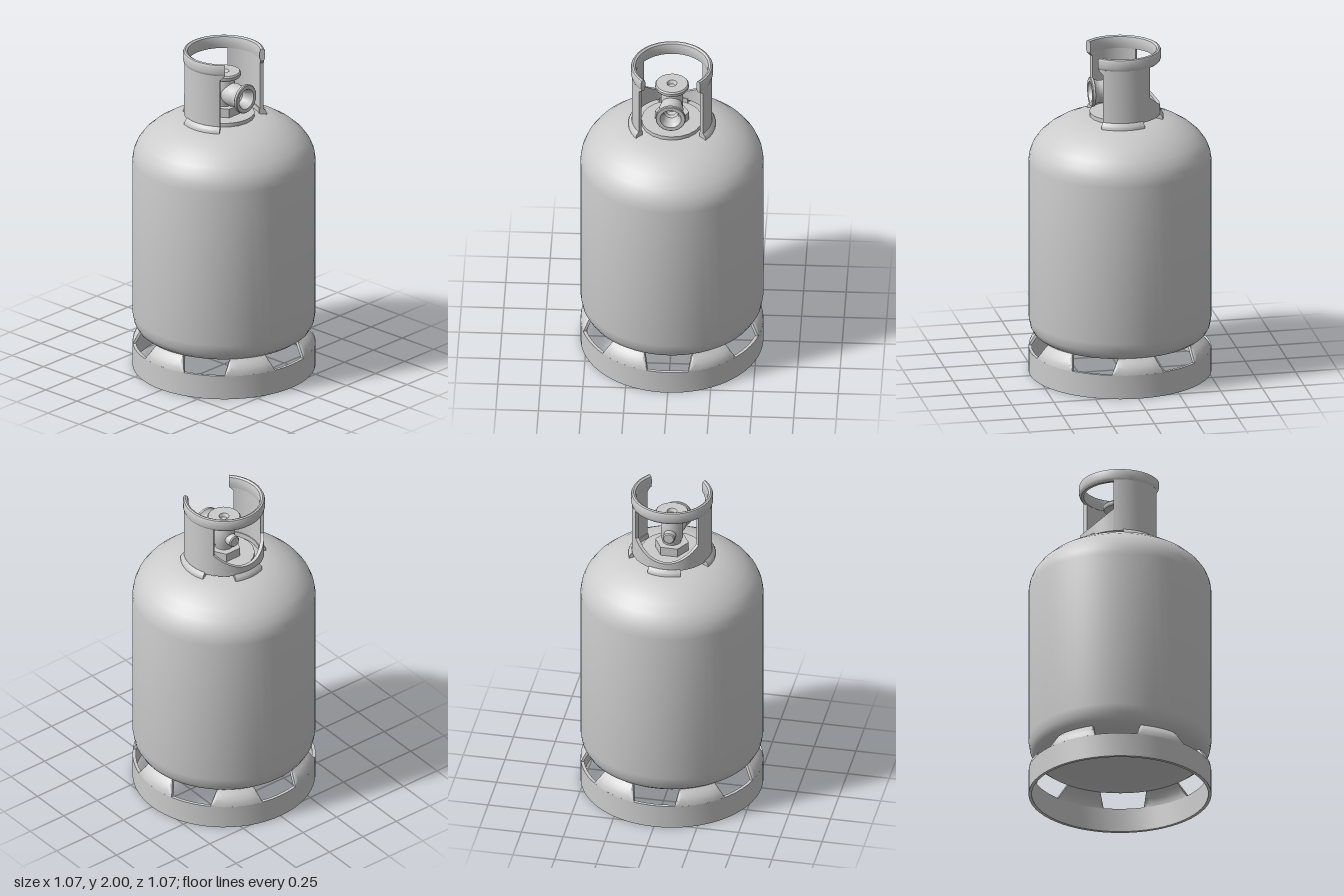
import * as THREE from 'three';
import { toCreasedNormals } from 'three/addons/utils/BufferGeometryUtils.js';

const RAD = Math.PI / 180;
const material = new THREE.MeshStandardMaterial({ color: 0xcccccc });

function add(parent, name, geometry, crease = 0.6) {
  const mesh = new THREE.Mesh(toCreasedNormals(geometry, crease), material);
  mesh.name = name;
  parent.add(mesh);
  return mesh;
}

const lathe = (points, segments) =>
  new THREE.LatheGeometry(points.map(([r, y]) => new THREE.Vector2(r, y)), segments);

// Solid swept about the y axis through the given angles (degrees, 0 = +x, 90 = +z).
// profile(angle) returns a counter-clockwise loop of [radius, height].
function arcSolid(angles, profile) {
  const loops = angles.map(profile);
  const n = loops[0].length;
  const positions = [];
  const index = [];
  loops.forEach((loop, i) => loop.forEach(([r, y]) =>
    positions.push(r * Math.cos(angles[i] * RAD), y, r * Math.sin(angles[i] * RAD))));
  for (let i = 0; i < angles.length - 1; i++) {
    for (let j = 0; j < n; j++) {
      const a = i * n + j, b = i * n + (j + 1) % n;
      index.push(a, b, b + n, a, b + n, a + n);
    }
  }
  const last = (angles.length - 1) * n;
  const cap = (loop) => THREE.ShapeUtils.triangulateShape(loop.map(([r, y]) => new THREE.Vector2(r, y)), []);
  for (const [a, b, c] of cap(loops[0])) index.push(a, c, b);
  for (const [a, b, c] of cap(loops[loops.length - 1])) index.push(last + a, last + b, last + c);
  const geometry = new THREE.BufferGeometry();
  geometry.setAttribute('position', new THREE.Float32BufferAttribute(positions, 3));
  geometry.setIndex(index);
  return geometry;
}

const steps = (from, to, count) =>
  Array.from({ length: count + 1 }, (_, i) => from + (to - from) * i / count);

const rect = (r0, r1, y0, y1) => [[r0, y0], [r1, y0], [r1, y1], [r0, y1]];

function addTank(group) {
  add(group, 'tank', lathe([
    [0, 0.205], [0.36, 0.207], [0.43, 0.215], [0.475, 0.228], [0.508, 0.252], [0.528, 0.288], [0.537, 0.34],
    [0.537, 1.31], [0.53, 1.355], [0.512, 1.4], [0.48, 1.445], [0.43, 1.49], [0.37, 1.528],
    [0.3, 1.558], [0.24, 1.572], [0.17, 1.583], [0, 1.587],
  ], 64));
  // Flat plate on the crown
  add(group, 'neckPlate', new THREE.CylinderGeometry(0.18, 0.18, 0.025, 20).translate(0, 1.593, 0));
}

function addFootRing(group) {
  const foot = new THREE.Group();
  foot.name = 'footRing';
  group.add(foot);
  add(foot, 'ringBand', lathe([[0.518, 0], [0.537, 0], [0.537, 0.147], [0.518, 0.147], [0.518, 0]], 64));

  // Six supports curve inwards to the tank, narrowing towards the top
  const outer = (t) => [0.537 - 0.055 * t * t, 0.145 + 0.087 * t];
  for (let k = 0; k < 6; k++) {
    const centre = 30 + k * 60;
    const offsets = [-16.8, ...steps(-13, 13, 6), 16.8];
    add(foot, 'tankSupport', arcSolid(offsets.map((d) => centre + d), (angle) => {
      const height = THREE.MathUtils.clamp((16.8 - Math.abs(angle - centre)) / 3.8, 0.02, 1);
      const edge = steps(0, height, 4).map(outer);
      return [...edge, ...edge.map(([r, y]) => [r - 0.018, y]).reverse()];
    }));
  }
}

function addCollar(group) {
  const collar = new THREE.Group();
  collar.name = 'guardCollar';
  group.add(collar);
  const inner = 0.215, outer = 0.236, base = 1.598;

  // Side walls, either side of the front and rear openings
  for (const start of [53, 233]) {
    add(collar, 'collarWall', arcSolid(steps(start, start + 74, 14), () => rect(inner, outer, base, 1.94)));
  }
  // Low wall under the rear window, dipping towards the middle
  add(collar, 'lowWall', arcSolid(steps(127, 233, 20), (angle) => {
    const dip = (-Math.cos(angle * RAD) - 0.6) / 0.4;
    return rect(inner, outer, base, 1.74 - 0.095 * dip);
  }));
  // Rolled rim
  add(collar, 'rim', arcSolid(steps(46, 314, 48), () => [
    [0.213, 1.922], [0.228, 1.922], [0.237, 1.93], [0.241, 1.945], [0.241, 1.985],
    [0.236, 1.996], [0.226, 2], [0.214, 1.993], [0.209, 1.975], [0.209, 1.945],
  ]));
  // Gusset from each wall end up to the overhanging rim
  for (const side of [1, -1]) {
    const angles = side > 0 ? steps(46, 54, 3) : steps(306, 314, 3);
    add(collar, 'rimGusset', arcSolid(angles, (angle) => {
      const reach = (54 - Math.abs(angle > 180 ? 360 - angle : angle)) / 8;
      return rect(inner, outer, 1.895 + 0.03 * reach, 1.95);
    }));
  }
  // Welded feet
  for (const [from, to] of [[53, 113], [157, 203], [247, 307]]) {
    add(collar, 'collarFoot', arcSolid(steps(from, to, 12), () =>
      [[0.21, 1.56], [0.256, 1.56], [0.256, 1.58], [0.25, 1.592], [0.237, 1.607], [0.21, 1.607]]));
  }
}

function addValve(group) {
  const valve = new THREE.Group();
  valve.name = 'valve';
  group.add(valve);
  add(valve, 'hexNut', new THREE.CylinderGeometry(0.1, 0.1, 0.06, 6).translate(0, 1.63, 0), 0.3);
  add(valve, 'valveBody', lathe([
    [0, 1.65], [0.055, 1.65], [0.055, 1.67], [0.066, 1.69], [0.066, 1.79], [0.06, 1.81], [0.06, 1.835], [0, 1.835],
  ], 20));
  // Hand wheel with a recess in the middle
  add(valve, 'handWheel', lathe([
    [0, 1.825], [0.07, 1.825], [0.094, 1.834], [0.1, 1.843], [0.1, 1.857], [0.093, 1.866],
    [0.03, 1.866], [0.02, 1.845], [0, 1.845],
  ], 20));
  // Hollow outlet facing +x
  const outlet = lathe([
    [0, 0.03], [0.06, 0.03], [0.071, 0.08], [0.066, 0.11], [0.066, 0.13], [0.074, 0.15], [0.082, 0.158],
    [0.088, 0.163], [0.088, 0.176], [0.084, 0.18], [0.062, 0.18], [0.056, 0.165], [0.046, 0.15],
    [0.042, 0.11], [0.03, 0.1], [0.026, 0.07], [0, 0.07],
  ], 24);
  add(valve, 'outlet', outlet.rotateZ(-Math.PI / 2).translate(0, 1.735, 0));
  // Relief plug facing -x
  const plug = lathe([[0, 0.04], [0.036, 0.04], [0.036, 0.097], [0.03, 0.103], [0, 0.103]], 16);
  add(valve, 'reliefPlug', plug.rotateZ(Math.PI / 2).translate(0, 1.735, 0));
}

export function createModel() {
  const group = new THREE.Group();
  group.name = 'gasCylinder';
  addTank(group);
  addFootRing(group);
  addCollar(group);
  addValve(group);
  return group;
}
